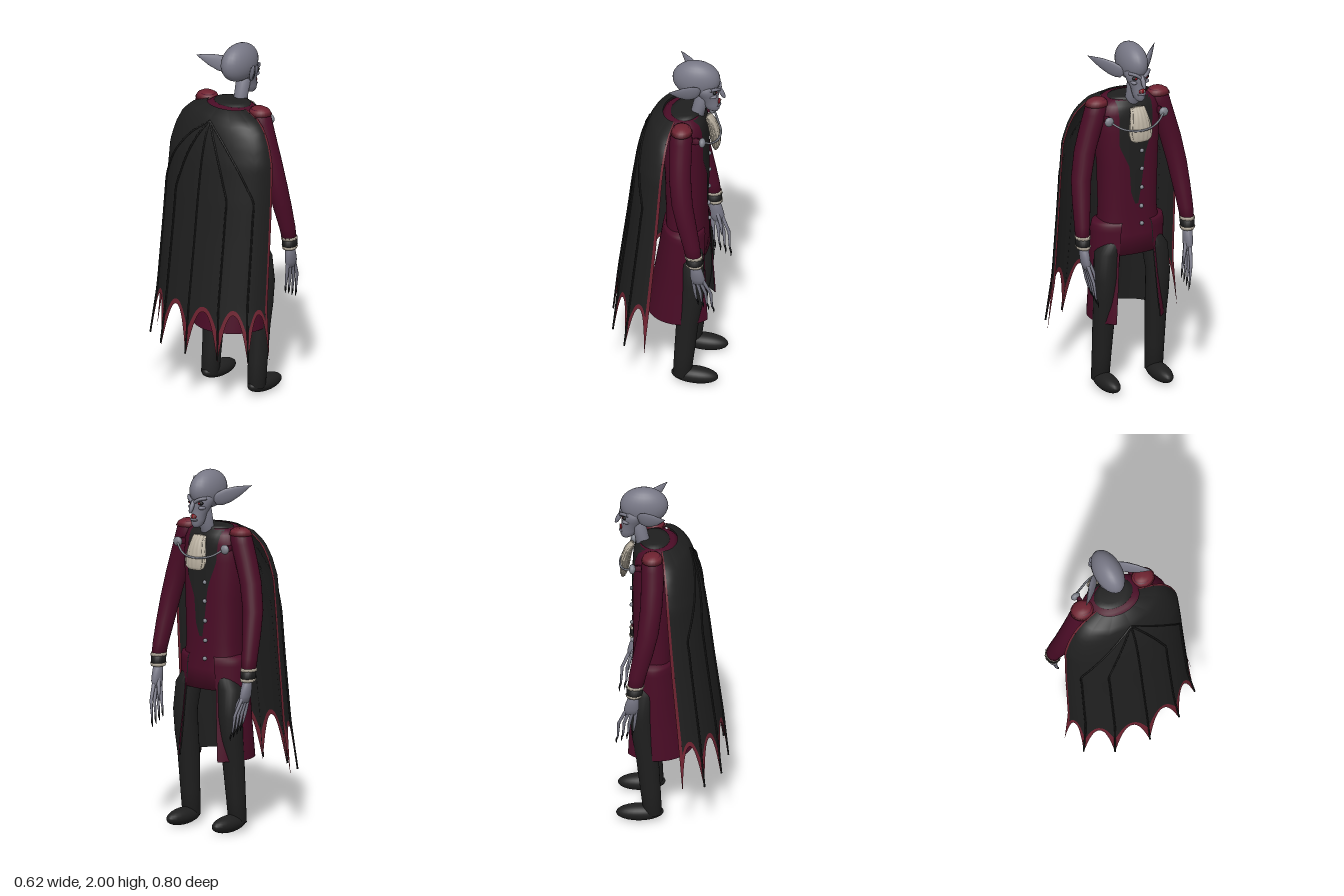
import * as THREE from 'three';
import { mergeVertices } from 'three/addons/utils/BufferGeometryUtils.js';

const mat = (name, color) => {
  const m = new THREE.MeshStandardMaterial({ color, side: THREE.DoubleSide });
  m.name = name;
  return m;
};

// Surface from fn(u, v) -> [x, y, z]
function grid(fn, nu, nv) {
  const pos = [], idx = [];
  for (let j = 0; j <= nv; j++)
    for (let i = 0; i <= nu; i++) pos.push(...fn(i / nu, j / nv));
  for (let j = 0; j < nv; j++)
    for (let i = 0; i < nu; i++) {
      const a = j * (nu + 1) + i, c = a + nu + 1;
      idx.push(a, c, a + 1, a + 1, c, c + 1);
    }
  let g = new THREE.BufferGeometry();
  g.setAttribute('position', new THREE.Float32BufferAttribute(pos, 3));
  g.setIndex(idx);
  g = mergeVertices(g, 1e-5);
  g.computeVertexNormals();
  return g;
}

// Rows are listed from bottom to top; the first entry is the height
function rowAt(rows, y) {
  let i = 0;
  while (i < rows.length - 2 && y > rows[i + 1][0]) i++;
  const a = rows[i], b = rows[i + 1], t = (y - a[0]) / (b[0] - a[0]);
  return a.map((p, k) => p + (b[k] - p) * t);
}

const power = (c, e) => Math.sign(c) * Math.abs(c) ** e;

// Stacked oval rings [y, x, z, rx, rz], closed at both ends
function loft(rows, n = 20, e = 1, ripple = 0) {
  const f = rows[0], l = rows[rows.length - 1];
  const rings = [[...f.slice(0, 3), 0, 0], ...rows, [...l.slice(0, 3), 0, 0]];
  return grid((u, v) => {
    const [y, x, z, rx, rz] = rings[Math.round(v * (rings.length - 1))];
    const a = u * Math.PI * 2, k = 1 + ripple * Math.cos(a * n / 4);
    return [x + rx * k * power(Math.cos(a), e), y, z + rz * k * power(Math.sin(a), e)];
  }, n, rings.length - 1);
}

const TORSO = [
  [0.79, 0.11, 0, 0.112, 0.185], [0.9, 0.105, 0, 0.112, 0.178], [1.05, 0.1, 0, 0.11, 0.165],
  [1.3, 0.1, 0, 0.115, 0.172], [1.5, 0.09, 0, 0.122, 0.185], [1.6, 0.085, 0, 0.122, 0.185],
  [1.65, 0.08, 0, 0.115, 0.165], [1.68, 0.08, 0, 0.09, 0.12]];
const SQUARE = 0.8;
// Skirt rows as in loft; cape rows are [y, front x, back x, half width]
const SKIRT = [[0.4, 0.08, 0, 0.2, 0.215], [0.6, 0.085, 0, 0.17, 0.213], [0.8, 0.09, 0, 0.142, 0.215],
  [0.94, 0.1, 0, 0.13, 0.215], [0.97, 0.1, 0, 0.124, 0.208], [0.985, 0.1, 0, 0.1, 0.16]];
const CAPE = [[0.31, -0.07, -0.305, 0.4], [0.6, -0.045, -0.275, 0.365], [1.0, -0.01, -0.222, 0.358],
  [1.2, 0.005, -0.198, 0.355], [1.42, 0.02, -0.165, 0.348], [1.52, 0.027, -0.14, 0.32],
  [1.6, 0.035, -0.112, 0.28], [1.66, 0.045, -0.075, 0.21], [1.68, 0.055, -0.03, 0.13]];

// 0 at the seven hem points, 1 halfway between them
const scallop = u => {
  const f = ((u + 1) * 3) % 1;
  return 1 - Math.abs(2 * f - 1) ** 2.2;
};
function capePoint(u, v, out = 0) {
  const hem = 0.31 + 0.27 * scallop(u), y = hem + (1.68 - hem) * v;
  const [, xf, xb, zf] = rowAt(CAPE, y), a = u * Math.PI / 2;
  return [xf - (xf - xb + out) * Math.cos(a), y, (zf + out) * Math.sin(a)];
}

export function createModel() {
  const root = new THREE.Group();
  const skin = mat('ash skin', 0x777785), coat = mat('burgundy', 0x4a0c26),
    black = mat('black cloth', 0x1f1f1f), red = mat('dark red', 0x6e2230),
    cream = mat('cream lace', 0xb9b0a0), metal = mat('dull silver', 0x7c7f88),
    claw = mat('claw black', 0x131315), eye = mat('blood red', 0x8c1420), ivory = mat('ivory', 0xd8d4c8);
  const add = (name, g, m, parent = root) => {
    const mesh = new THREE.Mesh(g, m);
    mesh.name = name;
    parent.add(mesh);
    return mesh;
  };
  const ball = (name, m, p, s, rz = 0) => {
    const b = add(name, new THREE.SphereGeometry(1, 24, 16), m);
    b.position.set(...p);
    b.scale.set(...s);
    b.rotation.z = rz;
    return b;
  };
  const tube = (name, pts, r, m, n = 20) => add(name, new THREE.TubeGeometry(
    new THREE.CatmullRomCurve3(pts.map(p => new THREE.Vector3(...p))), n, r, 6), m);

  // Head and neck
  ball('cranium', skin, [0.152, 1.893, 0], [0.132, 0.107, 0.077]);
  add('face', loft([[1.695, 0.25, 0, 0.02, 0.015], [1.71, 0.242, 0, 0.037, 0.03], [1.74, 0.237, 0, 0.046, 0.037],
    [1.77, 0.227, 0, 0.047, 0.04], [1.805, 0.213, 0, 0.062, 0.055], [1.83, 0.207, 0, 0.068, 0.064],
    [1.88, 0.19, 0, 0.08, 0.068]], 24), skin);
  add('neck', loft([[1.62, 0.145, 0, 0.045, 0.045], [1.7, 0.165, 0, 0.038, 0.038], [1.8, 0.19, 0, 0.042, 0.04]]), skin);
  ball('nose', skin, [0.291, 1.815, 0], [0.013, 0.04, 0.013], 0.45);
  ball('mouth', eye, [0.277, 1.757, 0], [0.008, 0.013, 0.02]);
  ball('lowerLip', skin, [0.274, 1.738, 0], [0.014, 0.008, 0.026]);

  // Torso, vest, collar
  add('coatBody', loft(TORSO, 40, SQUARE), coat);
  const front = (y, z, out) => {
    const [, x, , rx, rz] = rowAt(TORSO, y);
    return [x + out + rx * (1 - Math.abs(z / rz) ** (2 / SQUARE)) ** (SQUARE / 2), y, z];
  };
  const LEFT = [[1.08, 0.01], [1.15, 0.035], [1.3, 0.045], [1.42, 0.1], [1.677, 0.1]];
  const RIGHT = [[1.08, -0.01], [1.2, -0.03], [1.36, -0.05], [1.5, -0.1], [1.677, -0.11]];
  add('vest', grid((u, v) => {
    const y = 1.08 + 0.597 * v, a = rowAt(RIGHT, y)[1], b = rowAt(LEFT, y)[1];
    return front(y, a + (b - a) * u, 0.004);
  }, 12, 24), black);
  add('collar', loft([[1.66, 0.09, 0, 0.09, 0.125], [1.685, 0.095, 0, 0.08, 0.11], [1.69, 0.1, 0, 0.06, 0.08]], 28), black);
  for (const y of [1.385, 1.28, 1.17, 1.06, 0.96])
    ball('button', metal, [front(y, -0.03, 0.004)[0], y, -0.03], [0.012, 0.012, 0.012]);

  // Lace jabot with a chain across it
  add('jabot', loft([[1.46, 0.267, 0, 0.01, 0.04], [1.475, 0.265, 0, 0.017, 0.06], [1.51, 0.258, 0, 0.024, 0.069],
    [1.57, 0.25, 0, 0.026, 0.058], [1.62, 0.235, 0, 0.022, 0.046], [1.645, 0.22, 0, 0.015, 0.042]], 56, 1, 0.07), cream);
  tube('chain', [[0.22, 1.585, -0.165], [0.252, 1.548, -0.11], [0.28, 1.532, -0.04], [0.28, 1.532, 0.04],
    [0.252, 1.548, 0.11], [0.22, 1.585, 0.165]], 0.006, metal, 40);

  // Coat skirt, open at the front, with a dark lining
  const skirt = inset => grid((u, v) => {
    const y = 0.4 + 0.585 * v, [, x, , rx, rz] = rowAt(SKIRT, y);
    const a0 = 0.68 - 0.24 * v, a = a0 + u * (Math.PI * 2 - 2 * a0);
    return [x + (rx - inset) * Math.cos(a), y, (rz - inset) * Math.sin(a)];
  }, 48, 39);
  add('coatSkirt', skirt(0), coat);
  add('skirtLining', skirt(0.006), black);

  // Cape with red hem and edges
  const hemTop = u => 0.025 + 0.085 * (1 - scallop(u));
  const EDGE = 0.95;
  add('cape', grid((u, v) => {
    const k = EDGE * (2 * u - 1), w = hemTop(k);
    return capePoint(k, w + (1 - w) * v);
  }, 114, 36), black);
  add('capeHem', grid((u, v) => {
    const k = EDGE * (2 * u - 1);
    return capePoint(k, hemTop(k) * v);
  }, 114, 4), red);
  for (const s of [-1, 1])
    add('capeEdge', grid((u, v) => capePoint(s * (EDGE + (1 - EDGE) * u), v), 4, 40), red);
  for (let k = -2; k <= 2; k++) {
    const pts = [];
    for (let i = 0; i <= 16; i++) {
      const v = 0.96 - 0.95 * i / 16, spread = Math.min(1, i / 5) ** 0.7;
      const y = 0.31 + 1.37 * v, [, xf, xb, zf] = rowAt(CAPE, y), a = k * spread * Math.PI / 6;
      pts.push([xf - (xf - xb + 0.004) * Math.cos(a), y, (zf + 0.004) * Math.sin(a)]);
    }
    tube('capeRib', pts, 0.005, black, 48);
  }

  for (const s of [-1, 1]) {
    const side = rows => rows.map(([y, x, z, rx, rz]) => [y, x, s * z, rx, rz]);

    // Ear: a flattened leaf pointing back, up and out
    const ear = add('ear', new THREE.LatheGeometry([[0, 0], [0.03, 0.01], [0.042, 0.04], [0.044, 0.08],
      [0.032, 0.14], [0.014, 0.19], [0, 0.225]].map(p => new THREE.Vector2(...p)), 20), skin);
    const dir = new THREE.Vector3(-0.15, 0.085, s * 0.145).normalize();
    const wide = new THREE.Vector3(0.3, 0.95, 0).cross(dir).cross(dir).normalize();
    const thin = new THREE.Vector3().crossVectors(wide, dir);
    ear.quaternion.setFromRotationMatrix(new THREE.Matrix4().makeBasis(wide, dir, thin));
    ear.scale.set(1, 1, 0.35);
    ear.position.set(0.18, 1.835, s * 0.063);

    // Eye, brow, cheek and fang
    ball('eyeSocket', claw, [0.258, 1.832, s * 0.033], [0.012, 0.012, 0.019]);
    ball('eye', eye, [0.267, 1.832, s * 0.033], [0.006, 0.006, 0.007]);
    tube('brow', [[0.28, 1.838, s * 0.01], [0.272, 1.855, s * 0.035], [0.24, 1.86, s * 0.062]], 0.01, skin);
    ball('cheek', skin, [0.246, 1.806, s * 0.036], [0.026, 0.012, 0.018]);
    ball('fang', ivory, [0.284, 1.758, s * 0.01], [0.003, 0.009, 0.003]);

    // Sleeve, shoulder, cuff
    add('sleeve', loft(side([[0.93, 0.19, 0.323, 0.043, 0.037], [1.0, 0.178, 0.318, 0.047, 0.042],
      [1.12, 0.15, 0.308, 0.054, 0.049], [1.25, 0.122, 0.294, 0.058, 0.055], [1.4, 0.105, 0.262, 0.06, 0.06],
      [1.52, 0.1, 0.225, 0.062, 0.063], [1.61, 0.1, 0.196, 0.062, 0.065], [1.66, 0.1, 0.187, 0.056, 0.06],
      [1.685, 0.1, 0.183, 0.04, 0.045]]), 24), coat);
    add('shoulderCap', loft(side([[1.655, 0.102, 0.19, 0.06, 0.067], [1.678, 0.102, 0.187, 0.05, 0.056],
      [1.692, 0.1, 0.185, 0.028, 0.034]]), 24), red);
    add('cuff', loft(side([[0.885, 0.195, 0.322, 0.044, 0.038], [0.93, 0.192, 0.322, 0.046, 0.04]]), 24), black);
    add('cuffLace', loft(side([[0.87, 0.197, 0.32, 0.041, 0.035], [0.888, 0.195, 0.322, 0.047, 0.041]]), 48, 1, 0.05), cream);
    add('cuffLace', loft(side([[0.928, 0.192, 0.322, 0.048, 0.041], [0.944, 0.189, 0.322, 0.046, 0.04]]), 48, 1, 0.05), cream);

    // Hand with long clawed fingers
    add('hand', loft(side([[0.755, 0.215, 0.312, 0.03, 0.014], [0.79, 0.212, 0.316, 0.041, 0.024],
      [0.83, 0.206, 0.318, 0.036, 0.026], [0.88, 0.198, 0.32, 0.026, 0.026]])), skin);
    for (let k = 0; k < 4; k++) {
      const x = 0.186 + 0.018 * k, t = 0.2 + 0.029 * k, y = 0.635 - 0.014 * k;
      add('finger', loft(side([[y, t, 0.288, 0.005, 0.005], [0.69, t - 0.006, 0.3, 0.009, 0.009],
        [0.78, x, 0.315, 0.011, 0.011]]), 10), skin);
      add('claw', loft(side([[y - 0.045, t + 0.008, 0.277, 0.001, 0.001], [y - 0.02, t + 0.008, 0.281, 0.005, 0.005],
        [y + 0.004, t, 0.288, 0.006, 0.006]]), 8), claw);
    }
    add('thumb', loft(side([[0.69, 0.245, 0.272, 0.004, 0.004], [0.74, 0.24, 0.28, 0.009, 0.009],
      [0.81, 0.215, 0.305, 0.012, 0.012]]), 10), skin);

    // Brooch, leg, shoe
    ball('brooch', metal, [0.212, 1.585, s * 0.168], [0.018, 0.027, 0.027]);
    add('broochPin', loft(side([[1.57, 0.175, 0.16, 0.035, 0.012], [1.6, 0.175, 0.16, 0.035, 0.012]]), 12), coat);
    add('leg', loft(side([[0.05, 0.1, 0.165, 0.05, 0.05], [0.2, 0.113, 0.163, 0.056, 0.053],
      [0.4, 0.13, 0.16, 0.062, 0.06], [0.52, 0.147, 0.16, 0.066, 0.064], [0.65, 0.157, 0.16, 0.068, 0.067],
      [0.8, 0.145, 0.145, 0.07, 0.074], [0.88, 0.13, 0.11, 0.07, 0.06]]), 24), black);
    ball('shoe', black, [0.17, 0.052, s * 0.163], [0.13, 0.047, 0.054], -0.04);
  }
  return root;
}
